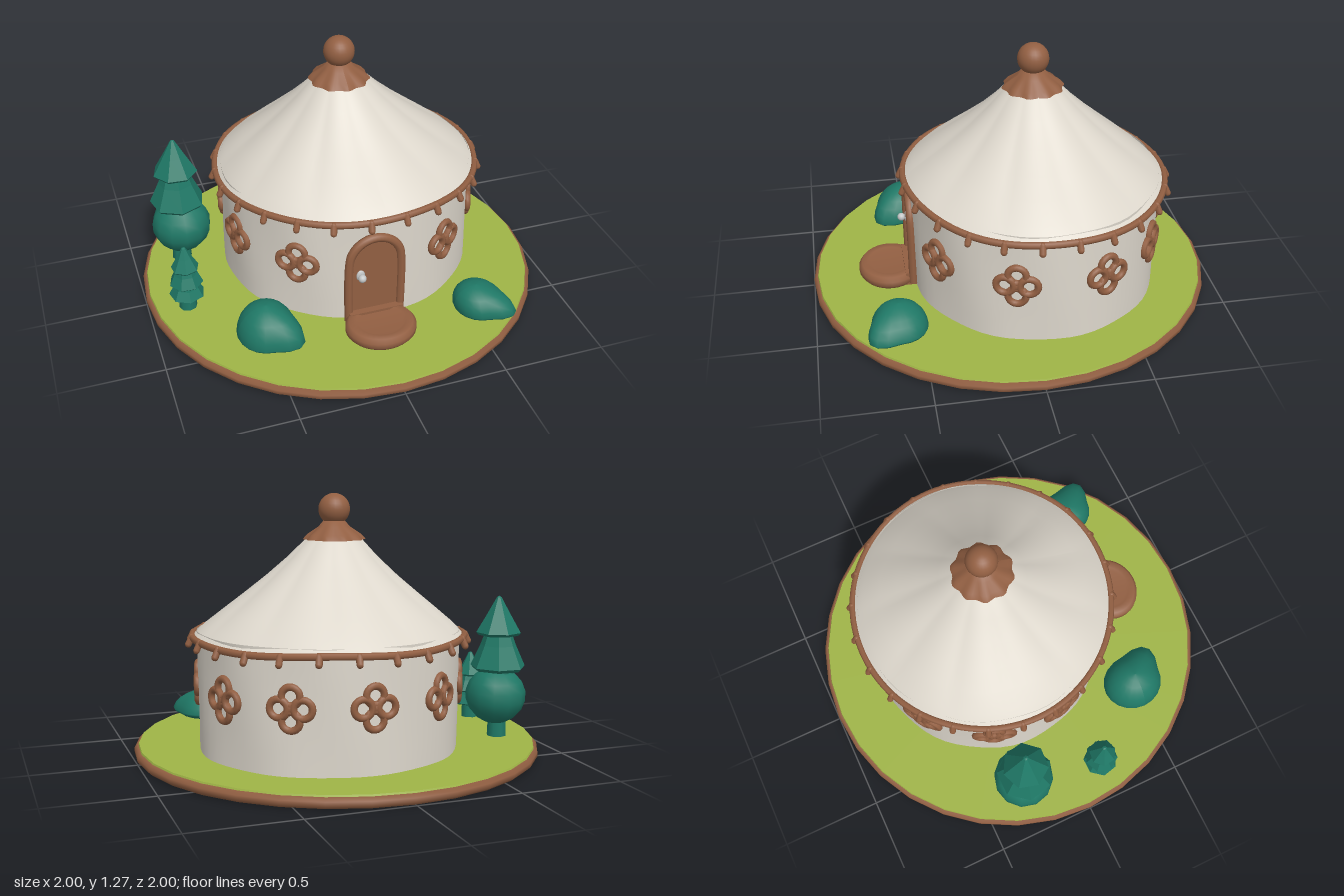
import * as THREE from 'three';

const CX = 0.08, CZ = -0.11;      // centre of the tent
const RX = 0.63, RZ = 0.61;       // wall radii

export function createModel() {
  const root = new THREE.Group();
  const mat = (name, color, side = THREE.FrontSide) => {
    const m = new THREE.MeshStandardMaterial({ color, side });
    m.name = name;
    return m;
  };
  const brown = mat('brown wood', 0x925f42);
  const grass = mat('grass', 0x9fb446);
  const cream = mat('cream canvas', 0xddd7cc, THREE.DoubleSide);
  const teal = mat('teal foliage', 0x1f7866);
  const silver = mat('silver knob', 0xc4c6c6);

  const add = (name, geo, material, x = 0, y = 0, z = 0, parent = root) => {
    const m = new THREE.Mesh(geo, material);
    m.name = name;
    m.position.set(x, y, z);
    parent.add(m);
    return m;
  };
  const lathe = (pts, seg) =>
    new THREE.LatheGeometry(pts.map(p => new THREE.Vector2(p[0], p[1])), seg);
  const deform = (geo, rule) => {
    const p = geo.attributes.position, v = new THREE.Vector3();
    for (let i = 0; i < p.count; i++) {
      rule(v.fromBufferAttribute(p, i));
      p.setXYZ(i, v.x, v.y, v.z);
    }
    geo.computeVertexNormals();
    return geo;
  };
  const faceted = geo => {
    const g = geo.toNonIndexed();
    g.computeVertexNormals();
    return g;
  };
  const group = name => {
    const g = new THREE.Group();
    g.name = name;
    root.add(g);
    return g;
  };
  // Eave height: raised over the door, angle measured from +z
  const eaveY = a => 0.598 + 0.034 * Math.pow(Math.max(0, Math.cos(a)), 2) + 0.005 * Math.sin(5 * a);

  // Ground disc
  add('base', lathe([[0, 0], [0.985, 0], [1, 0.014], [1, 0.034], [0.985, 0.05], [0, 0.05]], 32), brown);
  add('lawn', new THREE.CylinderGeometry(0.978, 0.984, 0.014, 32), grass, 0, 0.051, 0);

  // Wall with faint canvas ripples
  const wall = new THREE.CylinderGeometry(1, 1, 0.58, 64, 6, true);
  add('wall', deform(wall, v => {
    const k = 1 + 0.006 * Math.sin(9 * Math.atan2(v.x, v.z) + 6 * v.y);
    v.x *= RX * k;
    v.z *= RZ * k;
  }), cream, CX, 0.34, CZ);

  // Pleated roof, apex slightly off centre
  const roof = lathe([[0.645, 0.6], [0.59, 0.655], [0.5, 0.728], [0.41, 0.8], [0.31, 0.883],
    [0.21, 0.975], [0.12, 1.07], [0.04, 1.12]], 96);
  add('roof', deform(roof, v => {
    const a = Math.atan2(v.x, v.z), t = (v.y - 0.6) / 0.5;
    const k = 1 + 0.035 * Math.sin(Math.PI * Math.min(1, t)) * (Math.abs(Math.sin(5.5 * a + 0.5 * t)) - 0.6);
    v.x = v.x * k * 1.015 - 0.03 * t;
    v.z *= k * 0.99;
    v.y += (eaveY(a) - 0.6) * Math.max(0, 1 - 2 * t);
  }), cream, CX, 0, CZ);

  // Crown and finial
  const crown = lathe([[0.145, 1.055], [0.125, 1.078], [0.075, 1.115], [0.05, 1.145], [0, 1.15]], 48);
  add('crown', deform(crown, v => {
    const a = Math.atan2(v.x, v.z), r = Math.hypot(v.x, v.z);
    const k = 1 + (r > 0.1 ? 0.05 : 0) * Math.cos(10 * a);
    v.x *= k;
    v.z *= k;
  }), brown, 0.05, 0, CZ);
  add('finial', new THREE.SphereGeometry(0.076, 24, 16), brown, 0.05, 1.198, CZ);

  // Eave rope with hanging pegs
  const eavePoint = (a, out = 0) => new THREE.Vector3(
    CX + (0.655 + out) * Math.sin(a), eaveY(a), CZ + (0.64 + out) * Math.cos(a));
  const loop = [];
  for (let i = 0; i < 40; i++) loop.push(eavePoint(i / 40 * Math.PI * 2));
  add('eaveRope', new THREE.TubeGeometry(new THREE.CatmullRomCurve3(loop, true), 120, 0.017, 7, true), brown);
  const pegs = group('pegs');
  for (let i = 0; i < 24; i++) {
    const a = (i + 0.5) / 24 * Math.PI * 2;
    const p = eavePoint(a, 0.012);
    const peg = add('peg', new THREE.CapsuleGeometry(0.016, 0.038, 4, 8), brown, p.x, p.y - 0.015, p.z, pegs);
    peg.rotation.set(-0.45, a, 0, 'YXZ');
  }

  // Quatrefoil windows around the wall
  const ring = new THREE.TorusGeometry(0.042, 0.017, 8, 20);
  const hub = new THREE.SphereGeometry(0.026, 12, 8);
  for (const deg of [-145, -110, -75, -39, 32, 72, 113, 146, 180]) {
    const a = deg * Math.PI / 180;
    const w = group('window');
    w.position.set(CX + (RX + 0.003) * Math.sin(a), 0.365, CZ + (RZ + 0.003) * Math.cos(a));
    w.rotation.y = a;
    for (let i = 0; i < 4; i++) {
      const b = i * Math.PI / 2, dx = 0.056 * Math.cos(b);
      const petal = add('windowRing', ring, brown, dx, 0.056 * Math.sin(b), 0, w);
      petal.rotation.y = dx * 1.6;
    }
    add('windowHub', hub, brown, 0, 0, 0, w).scale.z = 0.7;
  }

  // Arched door, frame, knob and step
  const arch = new THREE.Shape();
  arch.moveTo(-0.13, 0.07);
  arch.lineTo(0.13, 0.07);
  arch.lineTo(0.13, 0.39);
  arch.absellipse(0, 0.39, 0.13, 0.135, 0, Math.PI, false);
  add('door', new THREE.ExtrudeGeometry(arch, { depth: 0.06, bevelEnabled: false, curveSegments: 16 }),
    brown, 0.025, 0, 0.452);
  const frame = [[-0.13, 0.07], [-0.132, 0.2], [-0.13, 0.38]];
  for (let i = 1; i < 8; i++) {
    const b = Math.PI * (1 - i / 8);
    frame.push([0.13 * Math.cos(b), 0.39 + 0.138 * Math.sin(b)]);
  }
  frame.push([0.13, 0.38], [0.132, 0.2], [0.13, 0.07]);
  const path = new THREE.CatmullRomCurve3(frame.map(p => new THREE.Vector3(p[0], p[1], 0)));
  add('doorFrame', new THREE.TubeGeometry(path, 60, 0.022, 8), brown, 0.025, 0, 0.508);
  add('knobPlate', new THREE.SphereGeometry(0.024, 12, 8), silver, -0.05, 0.33, 0.515).scale.set(0.9, 1.25, 0.4);
  add('knob', new THREE.SphereGeometry(0.02, 14, 10), silver, -0.05, 0.33, 0.54);
  const step = add('step', lathe([[0, 0], [0.155, 0], [0.172, 0.02], [0.172, 0.045], [0.155, 0.065],
    [0.12, 0.066], [0.105, 0.056], [0, 0.056]], 32), brown, 0.02, 0.056, 0.615);
  step.scale.z = 0.9;
  add('threshold', new THREE.BoxGeometry(0.27, 0.07, 0.09), brown, 0.025, 0.09, 0.5);

  // Bushes: domes drawn out towards one corner
  const bush = (x, z, sx, sy, sz, pull, lean) => {
    const g = new THREE.SphereGeometry(1, 20, 12);
    add('bush', deform(g, v => {
      const corner = Math.max(0, v.x) * Math.max(0, v.z) * pull;
      const h = Math.max(0, v.y);
      v.x = (v.x + corner - lean * h) * sx;
      v.z = (v.z + corner) * sz;
      v.y *= v.y < 0 ? 0.04 : sy;
    }), teal, x, 0.095, z);
  };
  bush(-0.51, 0.49, 0.142, 0.155, 0.155, 0.55, 0);
  bush(0.535, 0.61, 0.13, 0.115, 0.135, 0.6, 0.2);

  // Conifers from stacked faceted tiers: [bottom y, top y, bottom radius, top radius]
  const conifer = (name, x, z, tiers, trunk) => {
    const t = group(name);
    t.position.set(x, 0, z);
    add('trunk', new THREE.CylinderGeometry(trunk * 0.9, trunk, 0.12, 8), teal, 0, 0.11, 0, t);
    tiers.forEach(([y0, y1, r0, r1], i) => {
      const h = y1 - y0;
      const g = lathe([[0, y0 + h * 0.08], [r0 * 0.9, y0], [r0, y0 + h * 0.07],
        [(r0 + r1) * 0.46, y0 + h * 0.55], [r1, y1 - h * 0.04], [0, y1]], 7);
      add('tier', faceted(g), teal, 0, 0, 0, t).rotation.y = i * 0.4;
    });
    return t;
  };
  const tall = conifer('tallTree', -0.76, -0.27,
    [[0.395, 0.62, 0.138, 0.055], [0.57, 0.765, 0.112, 0.012]], 0.05);
  add('roundFoliage', new THREE.SphereGeometry(0.15, 12, 9), teal, 0.01, 0.265, 0, tall).scale.y = 0.95;
  add('upperTrunk', new THREE.CylinderGeometry(0.07, 0.09, 0.1, 8), teal, 0, 0.39, 0, tall);
  conifer('smallTree', -0.815, 0.14,
    [[0.13, 0.225, 0.087, 0.05], [0.2, 0.31, 0.083, 0.045], [0.285, 0.41, 0.068, 0.01]], 0.045);

  return root;
}
